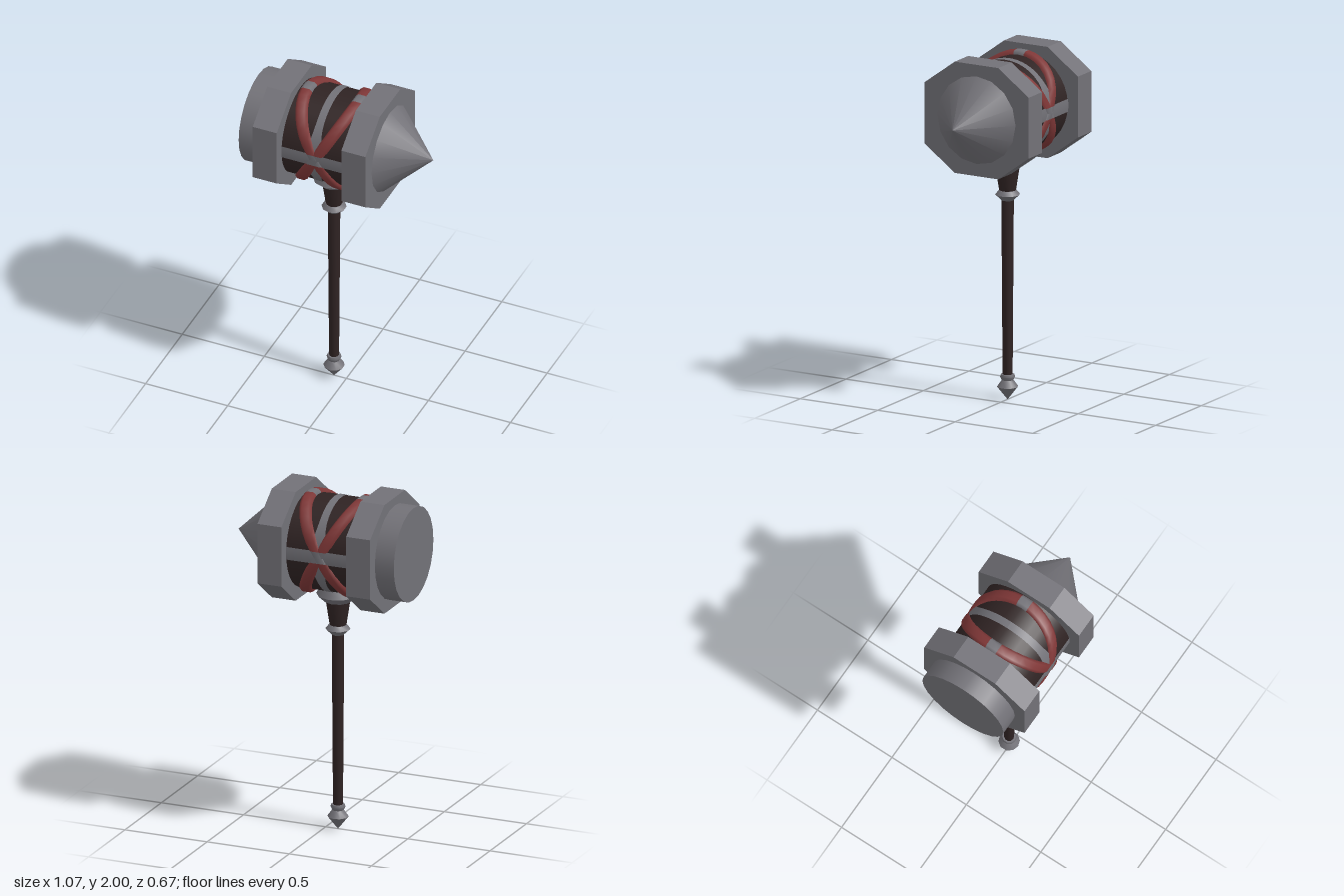
import * as THREE from 'three';
import { toCreasedNormals } from 'three/addons/utils/BufferGeometryUtils.js';

const AXIS_Y = 1.682; // height of the head's axis
const MID_X = -0.075; // handle and strap centre
const BARREL_R = 0.272;

const mat = (name, color) => new THREE.MeshStandardMaterial({ name, color });

// Surface swept around the head's axis from angle t0 to t1 (0 = top, PI/2 = front).
// section(t) gives [x, radius] pairs in order of growing x.
function sweep(t0, t1, steps, section) {
  const pos = [], idx = [];
  let m = 0;
  for (let i = 0; i <= steps; i++) {
    const t = t0 + ((t1 - t0) * i) / steps;
    const pts = section(t);
    m = pts.length;
    for (const [x, r] of pts) pos.push(x, AXIS_Y + r * Math.cos(t), r * Math.sin(t));
  }
  for (let i = 0; i < steps; i++) {
    for (let j = 0; j < m - 1; j++) {
      const a = i * m + j, b = a + m;
      idx.push(a, b, a + 1, b, b + 1, a + 1);
    }
  }
  const g = new THREE.BufferGeometry();
  g.setAttribute('position', new THREE.Float32BufferAttribute(pos, 3));
  g.setIndex(idx);
  g.computeVertexNormals();
  return g;
}

export function createModel() {
  const steel = mat('steel', 0x727177);
  const leather = mat('red leather', 0x7f3737);
  const wood = mat('dark wood', 0x2f2323);
  const model = new THREE.Group();
  model.name = 'warHammer';

  const add = (name, geometry, material, parent = model) => {
    const mesh = new THREE.Mesh(geometry, material);
    mesh.name = name;
    parent.add(mesh);
    return mesh;
  };

  // Cylinder or cone along x
  const barrelPart = (name, x0, x1, r0, r1, sides, material) => {
    const g = new THREE.CylinderGeometry(r1, r0, x1 - x0, sides);
    g.rotateZ(-Math.PI / 2);
    g.translate((x0 + x1) / 2, AXIS_Y, 0);
    add(name, g, material, head);
  };

  // Turned part on the handle, from [radius, y] points going up
  const turned = (name, points, material, sides = 10) => {
    const g = new THREE.LatheGeometry(points.map(([r, y]) => new THREE.Vector2(r, y)), sides);
    const mesh = add(name, toCreasedNormals(g, 0.7), material);
    mesh.position.x = MID_X;
  };

  // Head
  const head = new THREE.Group();
  head.name = 'head';
  model.add(head);
  barrelPart('strikingFace', -0.535, -0.41, 0.272, 0.272, 24, steel);
  barrelPart('barrel', -0.28, 0.13, BARREL_R, BARREL_R, 32, wood);
  barrelPart('spike', 0.262, 0.53, 0.256, 0, 16, steel);

  // Octagonal collars
  const half = [[0.337, 0.175], [0.14, 0.32], [-0.14, 0.32], [-0.337, 0.175]];
  const octagon = new THREE.Shape(
    [...half, ...half.map(([x, y]) => [-x, -y])].map(([x, y]) => new THREE.Vector2(x, y))
  );
  for (const [name, x] of [['rearCollar', -0.42], ['spikeCollar', 0.12]]) {
    const g = new THREE.ExtrudeGeometry(octagon, { depth: 0.146, bevelEnabled: false });
    g.rotateY(Math.PI / 2);
    g.translate(x, AXIS_Y - 0.002, 0);
    add(name, g, steel, head);
  }

  // Thin steel inlays: a ring that flares at the crossings, and front and back bars
  const inlayR = BARREL_R + 0.003;
  add('ringInlay', sweep(0, Math.PI * 2, 64, (t) => {
    const w = 0.022 + 0.032 * Math.abs(Math.sin(t)) ** 10;
    return [[MID_X - w, inlayR], [MID_X + w, inlayR]];
  }), steel, head);
  for (const [name, t] of [['frontInlay', Math.PI / 2], ['backInlay', -Math.PI / 2]]) {
    add(name, sweep(t - 0.136, t + 0.136, 6, () => [[-0.275, inlayR], [0.125, inlayR]]), steel, head);
  }

  // Two tilted straps that cross at front and back, with steel pieces every quarter turn
  for (const side of [1, -1]) {
    const section = (t) => {
      const s = Math.abs(Math.sin(t));
      const x = MID_X + side * 0.155 * Math.cos(t);
      const w = 0.034 + 0.004 * s;
      const r = 0.294 - 0.014 * s ** 10;
      return [[x - w, 0.26], [x - w, r - 0.012], [x - w * 0.55, r],
        [x + w * 0.55, r], [x + w, r - 0.012], [x + w, 0.26]];
    };
    for (let q = 0; q < 4; q++) {
      const t = (q * Math.PI) / 2, d = 0.12;
      add('strapClip', sweep(t - d, t + d, 2, section), steel, head);
      add('strap', sweep(t + d, t + Math.PI / 2 - d, 8, section), leather, head);
    }
  }

  // Handle, from the pommel up
  turned('pommel', [[0, 0], [0.06, 0.075], [0.033, 0.113], [0.042, 0.132], [0.038, 0.146], [0, 0.146]], steel);
  turned('shaft', [[0.028, 0.13], [0.035, 1.16]], wood);
  turned('handleRing', [[0.034, 1.146], [0.04, 1.152], [0.07, 1.18], [0.05, 1.205], [0, 1.205]], steel);
  turned('neck', [[0.046, 1.195], [0.071, 1.36]], wood);
  turned('socket', [[0.06, 1.345], [0.078, 1.345], [0.122, 1.385], [0.106, 1.415], [0.1, 1.43]], steel);

  return model;
}
